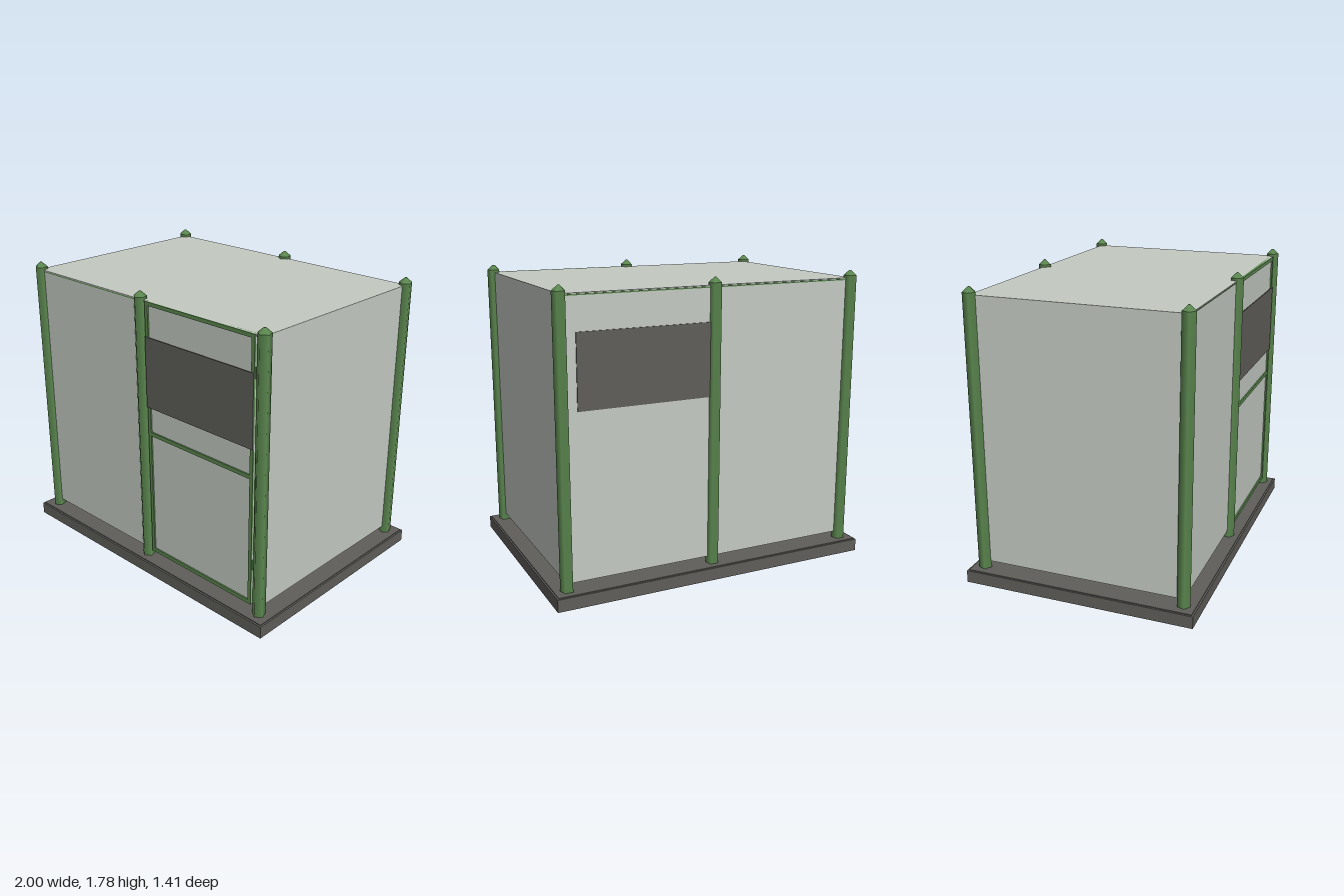
import * as THREE from 'three';

const mat = (name, color) => {
  const m = new THREE.MeshStandardMaterial({ color });
  m.name = name;
  return m;
};

export function createModel() {
  const sheet = mat('pale sheet', 0xc4c9c2);
  const green = mat('green frame', 0x5b874f);
  const grey = mat('dark grey', 0x5f5e5a);
  const hatchGrey = mat('hatch grey', 0x6a6c66);
  const black = mat('black', 0x1e1e1e);

  const model = new THREE.Group();
  model.name = 'enclosure';

  const add = (name, geometry, material, parent = model) => {
    const mesh = new THREE.Mesh(geometry, material);
    mesh.name = name;
    parent.add(mesh);
    return mesh;
  };
  // Box given by its limits on each axis
  const box = (name, material, [x0, x1], [y0, y1], [z0, z1], parent) => {
    const mesh = add(name, new THREE.BoxGeometry(x1 - x0, y1 - y0, z1 - z0), material, parent);
    mesh.position.set((x0 + x1) / 2, (y0 + y1) / 2, (z0 + z1) / 2);
    return mesh;
  };
  const group = (name) => {
    const g = new THREE.Group();
    g.name = name;
    model.add(g);
    return g;
  };

  const PX = 0.915, PZ = 0.625, TOP = 1.735, LOW = 0.122;

  // Base tray: floor with a thin skirt, hollow underneath
  const base = group('base');
  box('floor', grey, [-0.99, 0.99], [0.064, 0.08], [-0.695, 0.695], base);
  for (const s of [-1, 1]) {
    box('longSkirt', grey, [-1, 1], [0, 0.075], [s * 0.7 - 0.006, s * 0.7 + 0.006], base);
    box('shortSkirt', grey, [s * 0.994 - 0.006, s * 0.994 + 0.006], [0, 0.075], [-0.7, 0.7], base);
  }

  // Rounded hatch plates through the floor
  const hatch = (name, material, x, w, d, y0, y1) => {
    const r = 0.06, a = w / 2, b = d / 2;
    const s = new THREE.Shape();
    s.moveTo(-a + r, -b);
    s.lineTo(a - r, -b).quadraticCurveTo(a, -b, a, -b + r);
    s.lineTo(a, b - r).quadraticCurveTo(a, b, a - r, b);
    s.lineTo(-a + r, b).quadraticCurveTo(-a, b, -a, b - r);
    s.lineTo(-a, -b + r).quadraticCurveTo(-a, -b, -a + r, -b);
    const g = new THREE.ExtrudeGeometry(s, { depth: y1 - y0, bevelEnabled: false, curveSegments: 4 });
    g.rotateX(-Math.PI / 2);
    add(name, g, material).position.set(x, y0, 0);
  };
  hatch('rightHatch', hatchGrey, -0.5, 0.46, 0.38, 0.079, 0.118);
  hatch('leftHatch', black, 0.495, 0.41, 0.36, 0.079, 0.118);
  hatch('rightHatchUnderside', black, -0.5, 0.46, 0.38, 0.06, 0.066);
  hatch('leftHatchUnderside', black, 0.495, 0.41, 0.36, 0.06, 0.066);

  // Five-sided posts with pointed caps and a dark foot below the floor
  const shaft = new THREE.CylinderGeometry(0.04, 0.04, 1.67, 5);
  const cap = new THREE.CylinderGeometry(0.006, 0.04, 0.03, 5);
  const foot = new THREE.CylinderGeometry(0.028, 0.028, 0.006, 12);
  for (const x of [-PX, 0, PX]) {
    for (const z of [-PZ, PZ]) {
      const post = group('post');
      post.position.set(x, 0, z);
      add('postShaft', shaft, green, post).position.y = 0.915;
      add('postCap', cap, green, post).position.y = 1.765;
      add('postFoot', foot, black, post).position.y = 0.062;
    }
  }

  // Thin wall sheets and roof
  const t = 0.003;
  box('roof', sheet, [-PX, PX], [TOP - 2 * t, TOP], [-PZ - 0.004, PZ + 0.008]);
  box('backWall', sheet, [-PX, PX], [LOW, TOP - 0.014], [-PZ - t, -PZ + t]);
  box('frontWall', sheet, [-PX, 0], [LOW, TOP - 0.014], [PZ - t, PZ + t]);
  for (const s of [-1, 1]) {
    box('sideWall', sheet, [s * PX - t, s * PX + t], [LOW, TOP], [-PZ, PZ]);
  }

  // Slim rails along the top edges and under the roof
  for (const s of [-1, 1]) {
    box('topRail', green, [-PX, PX], [TOP - 0.014, TOP - 0.007], [s * PZ - 0.005, s * PZ + 0.005]);
  }
  for (const x of [-0.775, -0.165]) {
    box('roofRail', green, [x - 0.004, x + 0.004], [TOP - 0.02, TOP - 0.006], [-PZ, PZ]);
  }

  // Door: green frame, middle bar, sheet and hinges
  const door = group('door');
  const D0 = 0.053, D1 = 0.866, B = 0.022, Z = [0.62, 0.642];
  box('doorSheet', sheet, [D0, D1], [0.128, 1.732], [0.628, 0.633], door);
  box('doorStile', green, [D0, D0 + B], [0.127, TOP], Z, door);
  box('doorStile', green, [D1 - B, D1], [0.127, TOP], Z, door);
  for (const [y0, y1] of [[0.127, 0.151], [0.92, 0.944], [1.713, TOP]]) {
    box('doorRail', green, [D0 + B, D1 - B], [y0, y1], Z, door);
  }
  for (const y of [0.36, 1.5]) {
    box('hinge', green, [D1, 0.89], [y, y + 0.06], [0.625, 0.637], door);
  }

  // Dark screens on the door and the back wall
  box('doorScreen', grey, [D0, D1], [1.1, 1.53], [0.642, 0.647], door);
  box('backScreen', grey, [0.02, 0.83], [1.1, 1.53], [-PZ - 0.009, -PZ - 0.003]);

  return model;
}
